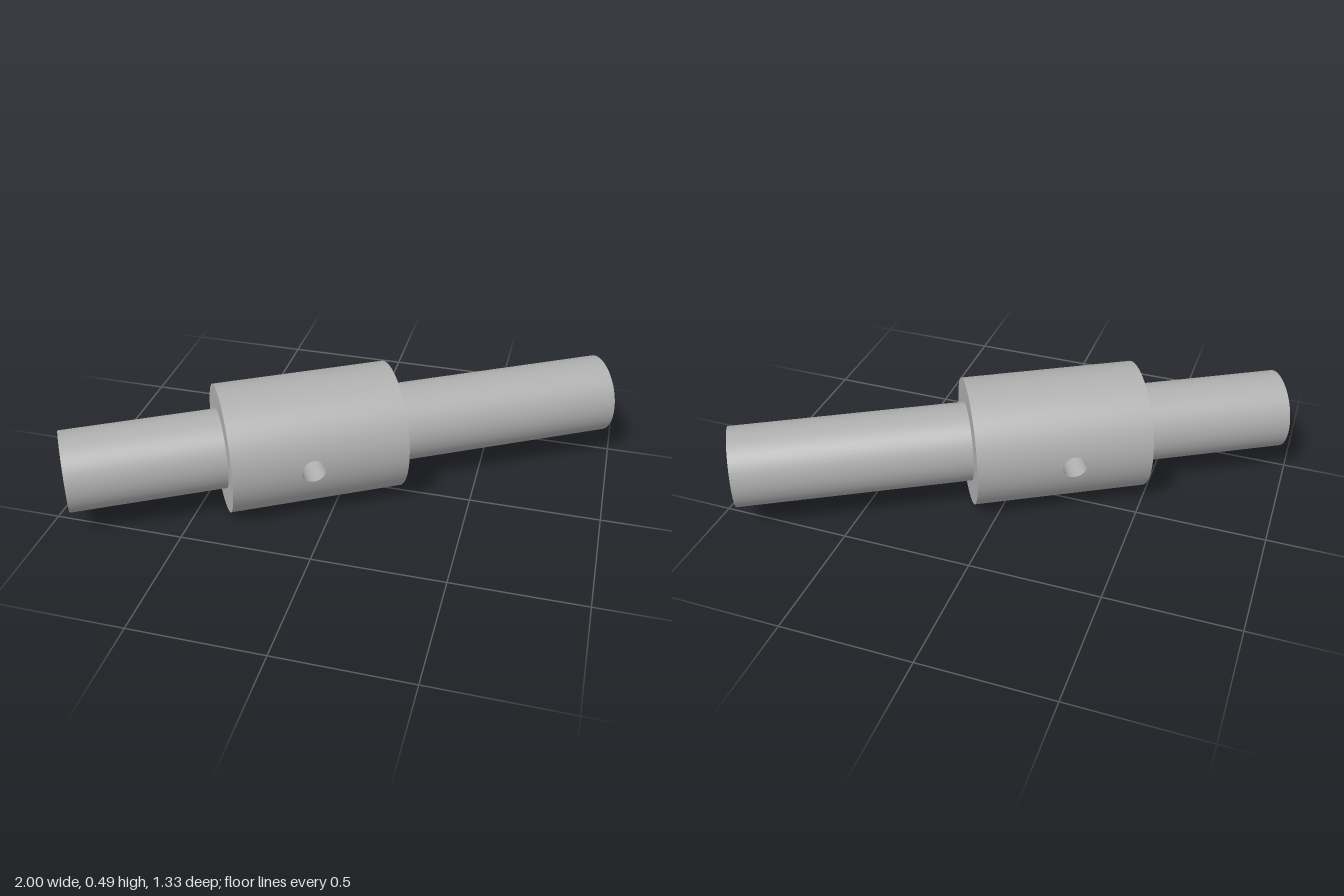
import * as THREE from 'three';

const ROD_R = 0.152, COLLAR_R = 0.245, BORE_R = 0.045;
const ROD_END = 1.066;               // half length of the shaft
const C0 = -0.486, C1 = 0.181;       // collar ends along the shaft
const BORE_T = -0.185;               // cross bore position along the shaft

// Half of the collar wall: rings morph from the bore rim out to the half-cylinder border
function collarHalf() {
  const A = Math.PI / 2, SIDE = 48, STEPS = 20;
  const corners = [[C1, -A], [C1, A], [C0, A], [C0, -A]];
  const border = [];
  corners.forEach((p, k) => {
    const q = corners[(k + 1) % 4];
    for (let i = 0; i < SIDE; i++) {
      const f = i / SIDE;
      border.push([p[0] + (q[0] - p[0]) * f, p[1] + (q[1] - p[1]) * f]);
    }
  });
  border.push(border[0]);
  const pos = [], nor = [], idx = [];
  for (const [bt, ba] of border) {
    const phi = Math.atan2(ba * COLLAR_R, bt - BORE_T);
    const ht = BORE_T + BORE_R * Math.cos(phi);
    const ha = Math.asin(BORE_R * Math.sin(phi) / COLLAR_R);
    for (let j = 0; j <= STEPS; j++) {
      const f = j / STEPS, a = ha + (ba - ha) * f;
      pos.push(ht + (bt - ht) * f, COLLAR_R * Math.sin(a), COLLAR_R * Math.cos(a));
      nor.push(0, Math.sin(a), Math.cos(a));
    }
  }
  const row = STEPS + 1;
  for (let i = 0; i < border.length - 1; i++) {
    for (let j = 0; j < STEPS; j++) {
      const a = i * row + j, b = a + row;
      idx.push(a, a + 1, b + 1, a, b + 1, b);
    }
  }
  const g = new THREE.BufferGeometry();
  g.setAttribute('position', new THREE.Float32BufferAttribute(pos, 3));
  g.setAttribute('normal', new THREE.Float32BufferAttribute(nor, 3));
  g.setIndex(idx);
  return g;
}

// Wall of the cross bore, its ends trimmed to the curved collar surface
function boreWall() {
  const g = new THREE.CylinderGeometry(BORE_R, BORE_R, 2, 64, 1, true);
  g.rotateX(Math.PI / 2);
  const p = g.attributes.position;
  for (let i = 0; i < p.count; i++) {
    const y = p.getY(i);
    p.setZ(i, Math.sign(p.getZ(i)) * Math.sqrt(COLLAR_R ** 2 - y * y));
  }
  g.translate(BORE_T, 0, 0);
  return g;
}

export function createModel() {
  const steel = new THREE.MeshStandardMaterial({ color: 0xb0b0b0 });
  steel.name = 'steel grey';
  const steelInside = steel;
  steelInside.side = THREE.DoubleSide;

  const group = new THREE.Group();
  group.name = 'shaftWithCollar';
  const add = (name, geometry) => {
    const mesh = new THREE.Mesh(geometry, steel);
    mesh.name = name;
    group.add(mesh);
    return mesh;
  };

  // Shaft on either side of the collar, and the collar's flat end faces
  for (const [side, from, to] of [['right', C0, -ROD_END], ['left', C1, ROD_END]]) {
    const dir = Math.sign(to);
    const length = Math.abs(to - from);
    const shaft = new THREE.CylinderGeometry(ROD_R, ROD_R, length, 96, 1, true);
    shaft.rotateZ(Math.PI / 2).translate((from + to) / 2, 0, 0);
    add(side + 'Shaft', shaft);

    const cap = new THREE.CircleGeometry(ROD_R, 96);
    cap.rotateY(dir * Math.PI / 2).translate(to, 0, 0);
    add(side + 'ShaftEnd', cap);

    const face = new THREE.RingGeometry(ROD_R, COLLAR_R, 96);
    face.rotateY(dir * Math.PI / 2).translate(from, 0, 0);
    add(side + 'CollarFace', face);
  }

  // Collar wall in two halves, each pierced by the bore
  add('collarFront', collarHalf());
  add('collarBack', collarHalf()).rotation.x = Math.PI;
  add('crossBore', boreWall());

  // The whole shaft lies turned about the vertical
  group.rotation.y = Math.PI / 6;
  group.position.y = COLLAR_R;
  const model = new THREE.Group();
  model.name = 'model';
  model.add(group);
  return model;
}
